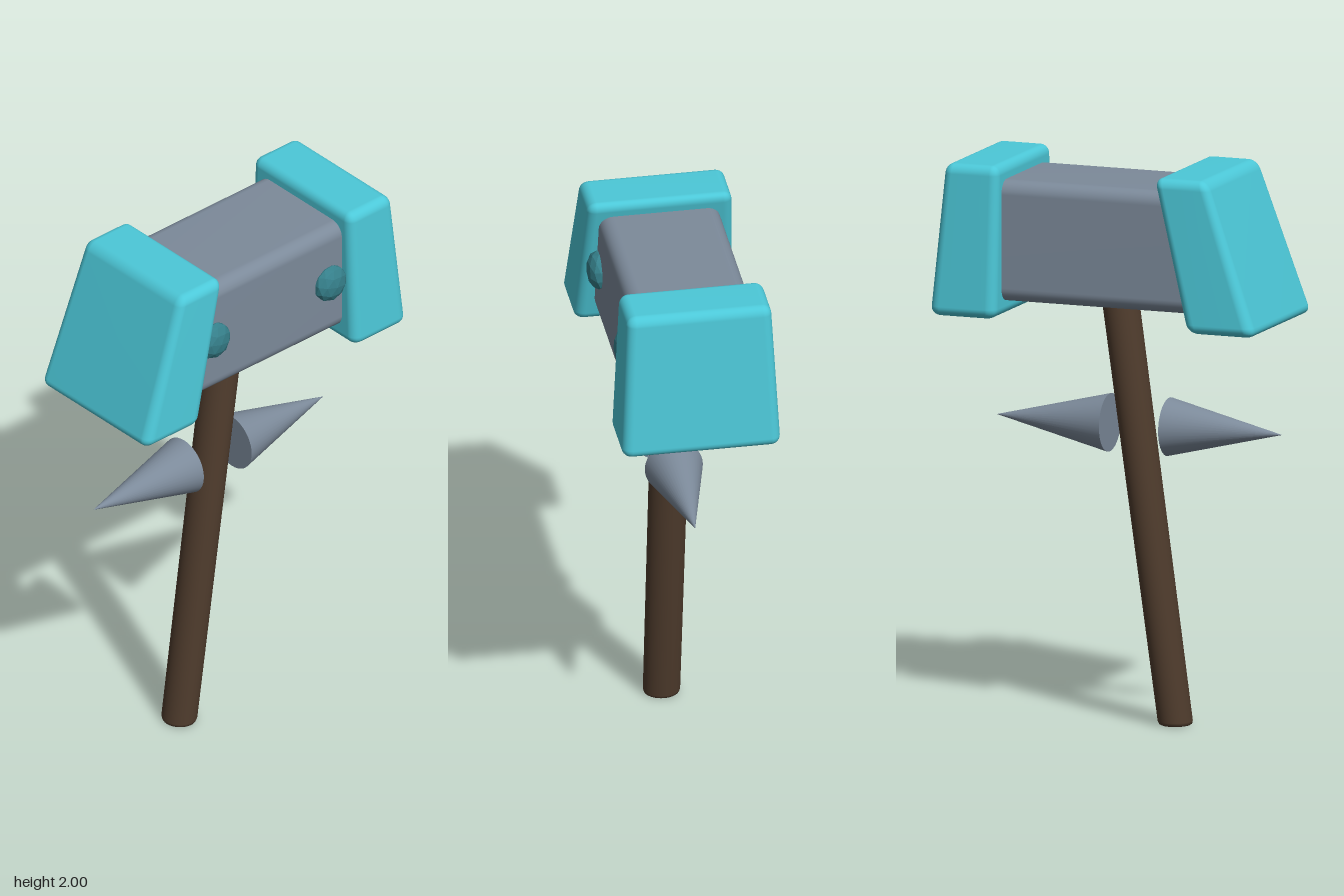
import * as THREE from 'three';
import { RoundedBoxGeometry } from 'three/addons/geometries/RoundedBoxGeometry.js';
import { mergeVertices } from 'three/addons/utils/BufferGeometryUtils.js';

const paint = (color) => new THREE.MeshStandardMaterial({ color });

// Rounded block whose x range [from, to] and half depth differ between bottom and top
function taperedBlock(y0, y1, bottom, top, radius) {
  const width = (bottom.to - bottom.from + top.to - top.from) / 2;
  const halfDepth = (bottom.z + top.z) / 2;
  const height = y1 - y0;
  let geo = new RoundedBoxGeometry(width, height, halfDepth * 2, 4, radius);
  const p = geo.attributes.position;
  const { lerp } = THREE.MathUtils;
  for (let i = 0; i < p.count; i++) {
    const t = p.getY(i) / height + 0.5;
    const u = p.getX(i) / width + 0.5;
    const x = lerp(lerp(bottom.from, top.from, t), lerp(bottom.to, top.to, t), u);
    const z = (p.getZ(i) / halfDepth) * lerp(bottom.z, top.z, t);
    p.setXYZ(i, x, y0 + t * height, z);
  }
  geo.deleteAttribute('normal');
  geo.deleteAttribute('uv');
  geo = mergeVertices(geo, 1e-5);
  geo.computeVertexNormals();
  return geo;
}

export function createModel() {
  const model = new THREE.Group();
  model.name = 'hammer';
  const teal = paint(0x4cc8d8);
  const steel = paint(0x7c8a9a);
  const wood = paint(0x4e3b2c);
  const gemPaint = paint(0x357f8a);
  gemPaint.flatShading = true;

  const add = (name, geo, material) => {
    const mesh = new THREE.Mesh(geo, material);
    mesh.name = name;
    model.add(mesh);
    return mesh;
  };

  // Head and the two striking caps
  add('head', taperedBlock(1.51, 1.945,
    { from: -0.43, to: 0.45, z: 0.217 }, { from: -0.31, to: 0.45, z: 0.217 }, 0.05), steel);
  add('rightCap', taperedBlock(1.455, 2,
    { from: -0.622, to: -0.36, z: 0.285 }, { from: -0.425, to: -0.225, z: 0.258 }, 0.035), teal);
  add('leftCap', taperedBlock(1.455, 2,
    { from: 0.365, to: 0.618, z: 0.285 }, { from: 0.365, to: 0.568, z: 0.258 }, 0.035), teal);

  // Leaning handle with a softened foot
  const profile = [[0, 0], [0.054, 0], [0.061, 0.004], [0.064, 0.014], [0.068, 1.56], [0, 1.56]]
    .map(([r, y]) => new THREE.Vector2(r, y));
  const handle = new THREE.LatheGeometry(profile, 32);
  handle.applyMatrix4(new THREE.Matrix4().set(
    0.96, 0.139, 0, -0.21,
    0, 1, 0, 0,
    0, 0, 1.03, 0,
    0, 0, 0, 1));
  add('handle', handle, wood);

  // Spikes floating either side of the handle
  for (const [name, side, x] of [['rightSpike', -1, -0.4], ['leftSpike', 1, 0.255]]) {
    const spike = add(name, new THREE.ConeGeometry(0.104, 0.43, 40), steel);
    spike.position.set(x, 1.065, 0);
    spike.rotation.z = -side * Math.PI / 2;
  }

  // Faceted gems on the front of the head
  for (const [name, x] of [['rightGem', -0.242], ['leftGem', 0.305]]) {
    const gem = add(name, new THREE.IcosahedronGeometry(0.07, 1), gemPaint);
    gem.position.set(x, 1.73, 0.222);
    gem.scale.z = 0.58;
    gem.rotation.z = 0.35;
  }

  return model;
}
